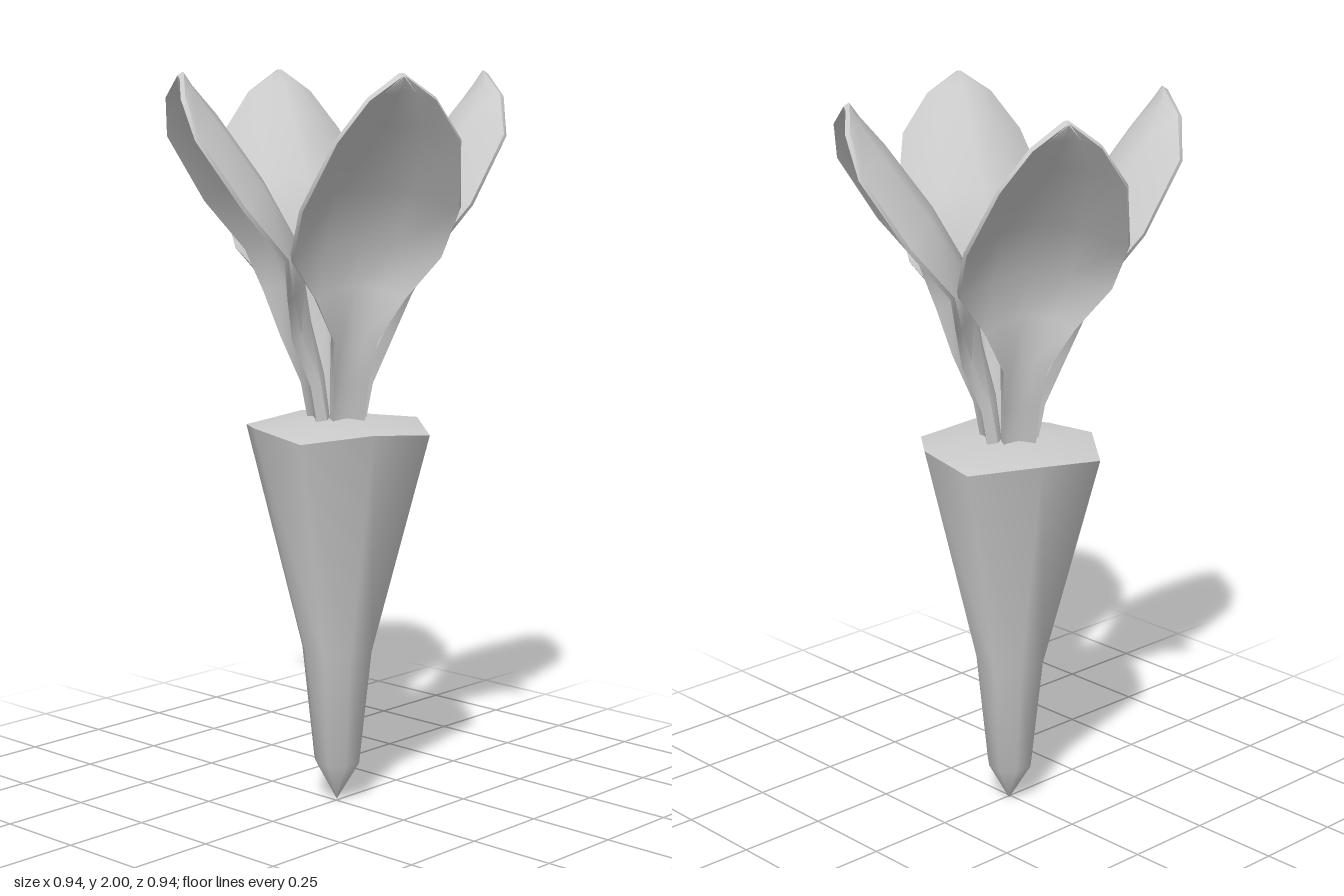
import * as THREE from 'three';
import { toCreasedNormals } from 'three/addons/utils/BufferGeometryUtils.js';

const grey = new THREE.MeshStandardMaterial({ color: 0xcccccc });
grey.name = 'light grey';

// Tapered eight-sided root; every other edge is set back and slightly higher at the rim
function makeRoot() {
  const profile = [[0, 0], [0.066, 0.11], [0.102, 0.43], [0.266, 1.04], [0, 1.09]]
    .map(([r, y]) => new THREE.Vector2(r, y));
  const geo = new THREE.LatheGeometry(profile, 8, 0.39);
  const pos = geo.attributes.position;
  const n = profile.length;
  for (let i = 0; i < pos.count; i++) {
    if (Math.floor(i / n) % 2 === 0) continue;
    pos.setX(i, pos.getX(i) * 0.91);
    pos.setZ(i, pos.getZ(i) * 0.91);
    if (i % n === 3) pos.setY(i, 1.06);
  }
  const root = new THREE.Mesh(toCreasedNormals(geo, 1.2), grey);
  root.name = 'root';
  return root;
}

// Leaf stations along the inner ridge:
// height, distance from axis, sideways shift, half width, droop of the edges, thickness
const stations = [
  [1.04, 0.02, 0.012, 0.043, 0.02, 0.05],
  [1.2, 0.04, 0.012, 0.05, 0.03, 0.05],
  [1.34, 0.075, 0.01, 0.062, 0.055, 0.05],
  [1.46, 0.095, 0.015, 0.125, 0.08, 0.035],
  [1.57, 0.125, 0.022, 0.208, 0.09, 0.025],
  [1.72, 0.21, 0.024, 0.216, 0.125, 0.025],
  [1.89, 0.335, 0.033, 0.166, 0.11, 0.025],
  [1.965, 0.4, 0.036, 0.09, 0.05, 0.025],
  [2.0, 0.425, 0.04, 0.006, 0, 0.02],
];
const across = [-1, -0.5, 0, 0.5, 1];

// Leaf arched towards the axis, its edges and tip bent outwards, on a thick stem
function makeLeafGeometry() {
  const points = [];
  const index = [];
  const ring = across.length * 2;
  for (const [y, r, shift, half, droop, thick] of stations) {
    const place = (s, depth) => {
      const out = droop * s * s + depth;
      points.push(shift + s * half, y - out * 0.5, r + out * 0.8);
    };
    across.forEach((s) => place(s * 0.97, thick * (1 - 0.3 * s * s)));
    [...across].reverse().forEach((s) => place(s, 0));
  }
  for (let i = 0; i < stations.length - 1; i++) {
    for (let j = 0; j < ring; j++) {
      const a = i * ring + j;
      const b = i * ring + (j + 1) % ring;
      index.push(a, b, b + ring, a, b + ring, a + ring);
    }
  }
  // Close the tip
  const top = (stations.length - 1) * ring;
  for (let j = 1; j < ring - 1; j++) index.push(top, top + j, top + j + 1);
  const geo = new THREE.BufferGeometry();
  geo.setAttribute('position', new THREE.Float32BufferAttribute(points, 3));
  geo.setIndex(index);
  return toCreasedNormals(geo, 0.9);
}

export function createModel() {
  const model = new THREE.Group();
  model.name = 'root vegetable';
  const plant = new THREE.Group();
  plant.name = 'plant';
  plant.position.set(-0.008, 0, -0.011);
  plant.add(makeRoot());

  // Four leaves around the axis
  const leafGeometry = makeLeafGeometry();
  for (let k = 0; k < 4; k++) {
    const leaf = new THREE.Mesh(leafGeometry, grey);
    leaf.name = `leaf${k + 1}`;
    leaf.rotation.y = -Math.PI / 6 + k * Math.PI / 2;
    plant.add(leaf);
  }
  model.add(plant);
  return model;
}
